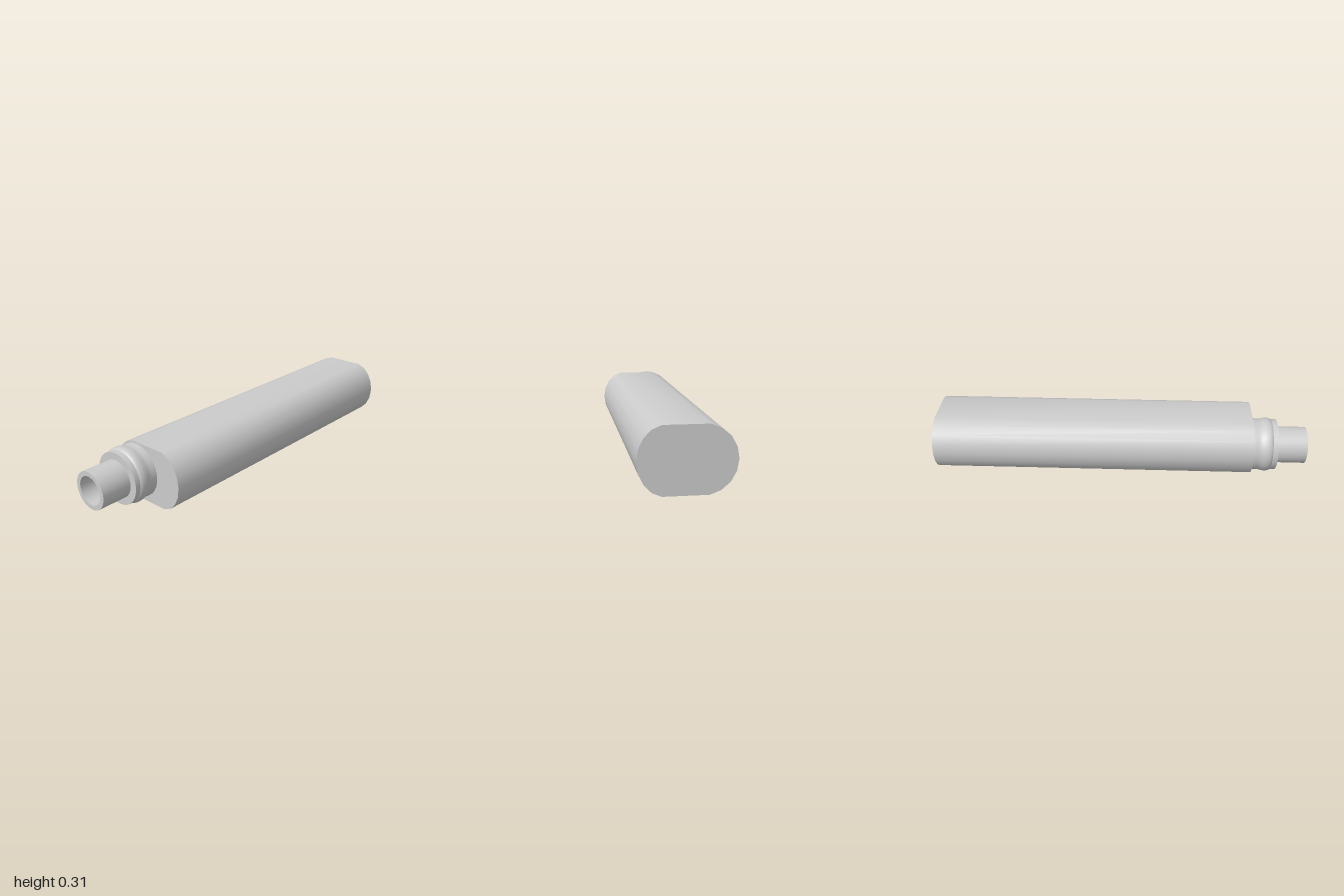
import * as THREE from 'three';
import { toCreasedNormals } from 'three/addons/utils/BufferGeometryUtils.js';

const material = new THREE.MeshStandardMaterial({ color: 0xcccccc });
const X_BACK = -0.71, X_END = 1, MID_Y = 0.153;

function addMesh(group, name, geometry, crease) {
  const mesh = new THREE.Mesh(toCreasedNormals(geometry, crease), material);
  mesh.name = name;
  group.add(mesh);
  return mesh;
}

// Flat-topped oval extruded along x, drifting slightly sideways along its length
function bodyGeometry() {
  const arc = (cx, r, start) => Array.from({ length: 9 }, (_, i) => {
    const a = start + (i / 8) * Math.PI * 0.888;
    return new THREE.Vector2(cx + r * Math.cos(a), MID_Y + MID_Y * Math.sin(a) / Math.sin(Math.PI * 0.444));
  });
  const outline = [
    ...arc(0.07, 0.152, -Math.PI * 0.444),
    ...arc(-0.085, 0.13, Math.PI * 0.556),
  ];
  const geometry = new THREE.ExtrudeGeometry(new THREE.Shape(outline), {
    depth: X_END - X_BACK, bevelEnabled: false,
  });
  geometry.rotateY(Math.PI / 2).translate(X_BACK, 0, 0);
  const p = geometry.attributes.position;
  for (let i = 0; i < p.count; i++) {
    const t = (X_END - p.getX(i)) / (X_END - X_BACK);
    p.setZ(i, p.getZ(i) + 0.007 * t);
  }
  return geometry;
}

// Turned part: profile of [radius, distance towards -x]
function turned(profile) {
  const points = profile.map(([r, d]) => new THREE.Vector2(r, d));
  return new THREE.LatheGeometry(points, 32)
    .rotateZ(Math.PI / 2)
    .translate(0, 0.158, -0.064);
}

export function createModel() {
  const group = new THREE.Group();
  addMesh(group, 'body', bodyGeometry(), 0.6);

  // Rounded collar with a shallow waist and a small lip
  addMesh(group, 'collar', turned([
    [0.139, 0.7], [0.139, 0.725], [0.137, 0.74], [0.138, 0.752],
    [0.143, 0.768], [0.145, 0.782], [0.144, 0.797], [0.14, 0.808],
    [0.136, 0.812], [0.136, 0.84], [0.09, 0.84],
  ]), 0.6);

  // Hollow pipe with a closed bore
  addMesh(group, 'pipe', turned([
    [0.098, 0.82], [0.098, 1], [0.074, 1], [0.074, 0.8], [0, 0.8],
  ]), 0.6);
  return group;
}
